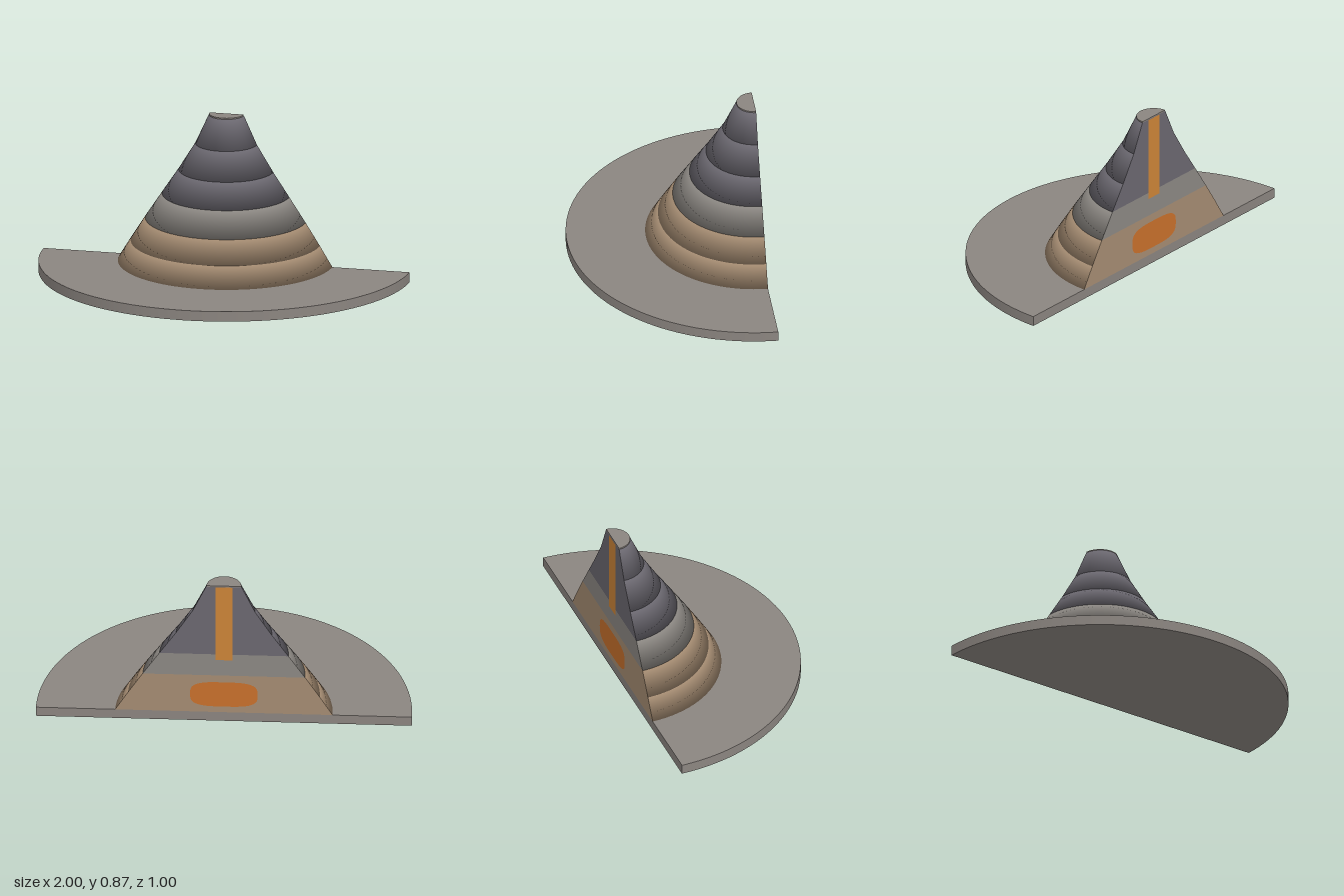
import * as THREE from 'three';

const CUT = -0.5; // z of the flat section plane
const mat = (name, color) => {
  const m = new THREE.MeshStandardMaterial({ color });
  m.name = name;
  return m;
};

export function createModel() {
  const group = new THREE.Group();
  const stone = mat('stone', 0x8b8580);
  const earth = mat('earth', 0xa58c72);
  const ash = mat('ash', 0x8c8883);
  const basalt = mat('basalt', 0x6b6870);
  const magma = mat('magma', 0xc8702c);
  const lava = mat('lava', 0xcc8438);

  const add = (name, geometry, material, y = 0, z = CUT) => {
    const mesh = new THREE.Mesh(geometry, material);
    mesh.name = name;
    mesh.position.set(0, y, z);
    group.add(mesh);
    return mesh;
  };
  // Flat face on the section plane, looking backwards
  const addFace = (name, points, material, z = CUT) => {
    const shape = new THREE.Shape(points.map(([x, y]) => new THREE.Vector2(x, y)));
    add(name, new THREE.ShapeGeometry(shape), material, 0, z).rotation.y = Math.PI;
  };
  // Half disc with vertical wall and its section face
  const addHalfDisc = (name, r, y0, y1, material) => {
    const geo = new THREE.CylinderGeometry(r, r, y1 - y0, 64, 1, false, -Math.PI / 2, Math.PI);
    add(name, geo, material, (y0 + y1) / 2);
    addFace(name + 'Section', [[-r, y0], [r, y0], [r, y1], [-r, y1]], material);
  };

  addHalfDisc('base', 1, 0, 0.055, stone);

  // Stacked strata: [height, radius] rings with one material per band;
  // each closed profile keeps its softly rounded normals
  const rings = [[0.055, 0.578], [0.167, 0.51], [0.29, 0.432], [0.425, 0.343],
    [0.557, 0.255], [0.702, 0.166], [0.858, 0.095]];
  const bands = [earth, earth, ash, basalt, basalt, basalt];
  bands.forEach((material, i) => {
    const [y0, r0] = rings[i], [y1, r1] = rings[i + 1];
    const profile = [[0, y0], [r0, y0], [r1, y1], [0, y1]].map(([r, y]) => new THREE.Vector2(r, y));
    add('stratum' + (i + 1), new THREE.LatheGeometry(profile, 48, -Math.PI / 2, Math.PI), material);
    addFace('stratumSection' + (i + 1), [[-r0, y0], [r0, y0], [r1, y1], [-r1, y1]], material);
  });

  addHalfDisc('craterCap', 0.093, 0.858, 0.865, stone);

  // Vent and magma chamber painted on the section
  addFace('vent', [[-0.045, 0.39], [0.045, 0.39], [0.045, 0.857], [-0.045, 0.857]], lava, CUT - 0.002);
  const chamber = [];
  for (let i = 0; i < 40; i++) {
    const a = (i / 40) * Math.PI * 2, c = Math.cos(a), s = Math.sin(a);
    chamber.push([0.18 * Math.sign(c) * Math.abs(c) ** 0.6, 0.17 + 0.078 * Math.sign(s) * Math.abs(s) ** 0.6]);
  }
  addFace('magmaChamber', chamber, magma, CUT - 0.002);

  return group;
}
